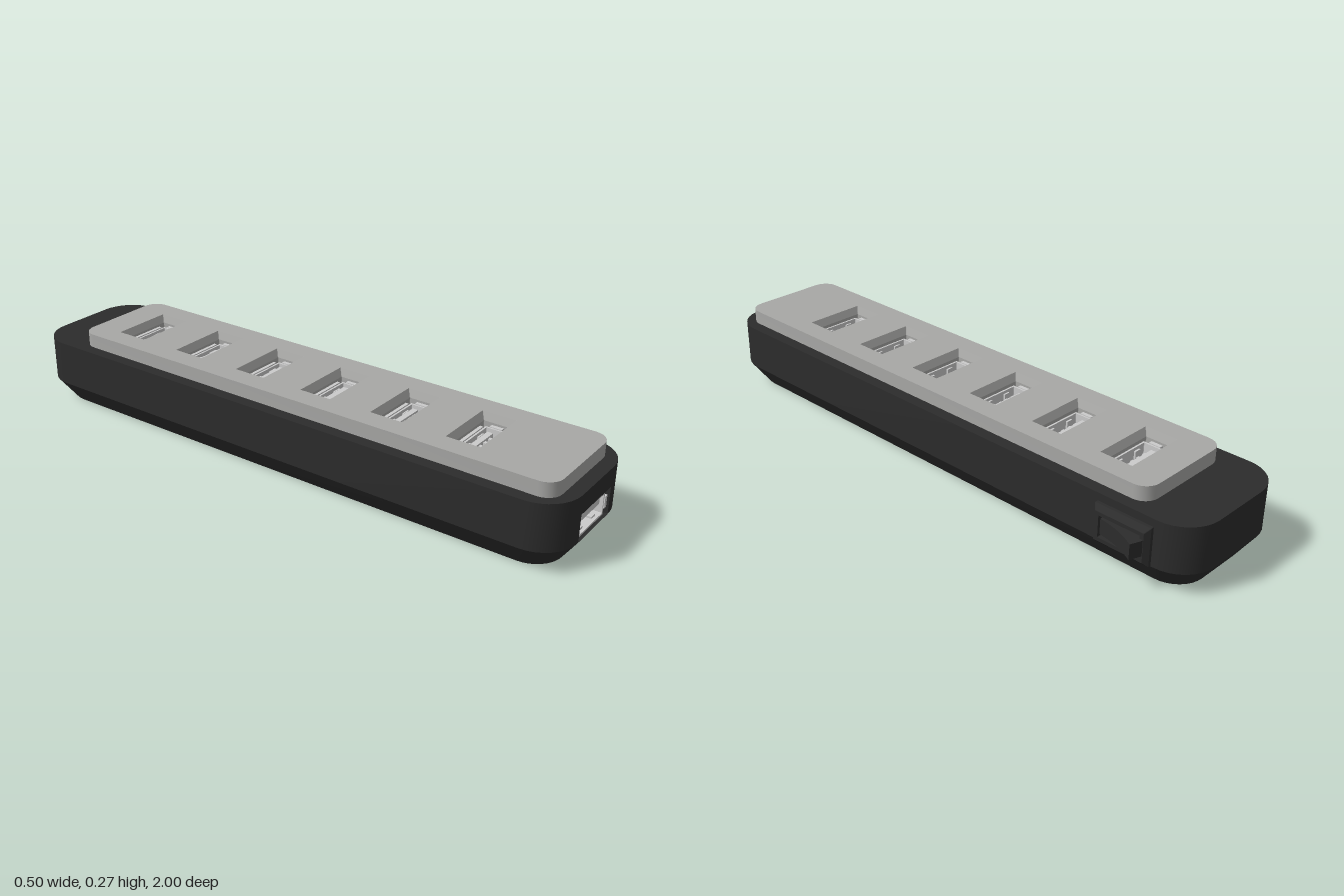
import * as THREE from 'three';
import { toCreasedNormals } from 'three/addons/utils/BufferGeometryUtils.js';

const mat = (color) => new THREE.MeshStandardMaterial({ color });
const DARK = mat(0x2c2c2c), PANEL = mat(0xa8a8a6), METAL = mat(0xcccccc), INNER = mat(0x777777);
const CX = -0.0325; // centre line of the housing

function add(parent, name, geometry, material, x = 0, y = 0, z = 0) {
  const mesh = new THREE.Mesh(geometry, material);
  mesh.name = name;
  mesh.position.set(x, y, z);
  parent.add(mesh);
  return mesh;
}

// Rounded rectangle outline, counter-clockwise, n segments per corner
function ring({ w, h, r = 0.001, z, x = 0, y = 0 }, n) {
  const pts = [];
  for (let c = 0; c < 4; c++) {
    const sx = c === 0 || c === 3 ? 1 : -1, sy = c < 2 ? 1 : -1;
    for (let i = 0; i <= n; i++) {
      const a = (c + i / n) * Math.PI / 2;
      pts.push([x + sx * (w / 2 - r) + r * Math.cos(a), y + sy * (h / 2 - r) + r * Math.sin(a), z]);
    }
  }
  return pts;
}

// Skin over rounded rectangles; rising z gives a solid, falling z a cavity
function loft(specs, { n = 1, start = false, end = false, skip = () => false } = {}) {
  const rings = specs.map((s) => ring(s, n)), m = rings[0].length, idx = [];
  for (let k = 0; k < rings.length - 1; k++) {
    for (let i = 0; i < m; i++) {
      if (skip(k, i)) continue;
      const a = k * m + i, b = k * m + (i + 1) % m;
      idx.push(a, b, b + m, a, b + m, a + m);
    }
  }
  const last = (rings.length - 1) * m;
  for (let i = 1; i < m - 1; i++) {
    if (start) idx.push(0, i + 1, i);
    if (end) idx.push(last, last + i, last + i + 1);
  }
  const g = new THREE.BufferGeometry();
  g.setAttribute('position', new THREE.Float32BufferAttribute(rings.flat(2), 3));
  g.setIndex(idx);
  return toCreasedNormals(g.toNonIndexed(), 0.5);
}

const outline = (spec, n) => ring({ z: 0, ...spec }, n).map((p) => new THREE.Vector2(p[0], p[1]));

// Socket with its mouth in the z = 0 plane, opening toward +z
function makePort(cavityMaterial) {
  const port = new THREE.Group();
  port.name = 'port';
  add(port, 'socketCavity', loft([
    { w: 0.188, h: 0.088, z: 0 },
    { w: 0.188, h: 0.088, z: -0.12 },
  ], { end: true }), cavityMaterial);
  // Metal sleeve with its flared lips
  const sleeve = new THREE.Shape(outline({ w: 0.163, h: 0.073 }, 1));
  sleeve.holes.push(new THREE.Path(outline({ w: 0.151, h: 0.061 }, 1)));
  add(port, 'sleeve', new THREE.ExtrudeGeometry(sleeve, { depth: 0.105, bevelEnabled: false }), METAL, 0, -0.006, -0.115);
  add(port, 'topLip', new THREE.BoxGeometry(0.137, 0.011, 0.012), METAL, 0, 0.037, -0.013);
  add(port, 'sleeveBack', new THREE.BoxGeometry(0.152, 0.062, 0.01), INNER, 0, -0.006, -0.1);
  for (const s of [-1, 1]) {
    add(port, 'sideLip', new THREE.BoxGeometry(0.013, 0.04, 0.012), METAL, s * 0.087, -0.003, -0.013);
    add(port, 'topSpring', new THREE.BoxGeometry(0.03, 0.006, 0.05), METAL, s * 0.037, 0.022, -0.045);
    add(port, 'bottomSpring', new THREE.BoxGeometry(0.022, 0.007, 0.05), METAL, s * 0.04, -0.034, -0.045);
  }
  // Tongue and contacts
  add(port, 'tongue', new THREE.BoxGeometry(0.132, 0.019, 0.085), METAL, 0, 0.006, -0.06);
  for (let i = 0; i < 4; i++) {
    add(port, 'contact', new THREE.BoxGeometry(0.012, 0.011, 0.075), METAL, (i - 1.5) * 0.028, -0.008, -0.061);
  }
  return port;
}

export function createModel() {
  const hub = new THREE.Group();
  hub.name = 'portHub';

  // Housing: chamfered underside, upright walls, top ledge; front flat left open for the wall
  const N = 8, frontFlat = 3 * (N + 1) - 1;
  add(hub, 'housing', loft([
    { w: 0.335, h: 1.9, r: 0.093, z: 0 },
    { w: 0.435, h: 2, r: 0.117, z: 0.075 },
    { w: 0.435, h: 2, r: 0.117, z: 0.225 },
    { w: 0.34, h: 1.76, r: 0.045, z: 0.225, y: -0.0675 },
  ], { n: N, start: true, skip: (k, i) => k === 1 && i === frontFlat }), DARK, CX).rotation.x = -Math.PI / 2;

  // Front wall notched around the front socket
  const wall = new THREE.Shape([
    [-0.1005, 0.075], [-0.094, 0.075], [-0.094, 0.162], [0.094, 0.162],
    [0.094, 0.075], [0.1005, 0.075], [0.1005, 0.225], [-0.1005, 0.225],
  ].map((p) => new THREE.Vector2(...p)));
  add(hub, 'frontWall', new THREE.ShapeGeometry(wall), DARK, CX, 0, 1);
  const frontPort = makePort(DARK);
  frontPort.name = 'frontPort';
  frontPort.position.set(CX, 0.1185, 1);
  hub.add(frontPort);

  // Raised top panel with a row of six sunken sockets
  const portZ = Array.from({ length: 6 }, (_, i) => 0.635 - i * 0.258);
  const panel = new THREE.Shape(outline({ w: 0.355, h: 1.775, r: 0.05, y: -0.0675 }, 6));
  for (const z of portZ) panel.holes.push(new THREE.Path(outline({ w: 0.21, h: 0.112, y: -z }, 1)));
  const panelGeometry = new THREE.ExtrudeGeometry(panel, { depth: 0.047, bevelEnabled: false });
  add(hub, 'topPanel', toCreasedNormals(panelGeometry, 0.5), PANEL, CX, 0.225, 0).rotation.x = -Math.PI / 2;
  for (const z of portZ) {
    const port = makePort(PANEL);
    port.name = 'topPort';
    add(port, 'recess', loft([
      { w: 0.21, h: 0.112, z: 0.025 },
      { w: 0.188, h: 0.088, z: 0 },
    ]), PANEL);
    port.position.set(CX, 0.247, z);
    port.rotation.x = -Math.PI / 2;
    hub.add(port);
  }

  // Power switch on the left side: bevelled frame and curved rocker
  add(hub, 'switchFrame', loft([
    { w: 0.19, h: 0.124, z: -0.002 },
    { w: 0.19, h: 0.124, z: 0.01 },
    { w: 0.165, h: 0.094, z: 0.025 },
    { w: 0.14, h: 0.07, z: 0.025 },
    { w: 0.14, h: 0.07, z: 0.006 },
  ], { end: true }), DARK, 0.185, 0.138, -0.78).rotation.y = Math.PI / 2;
  const rocker = new THREE.Shape();
  rocker.moveTo(0.188, 0.715);
  rocker.lineTo(0.207, 0.715);
  rocker.quadraticCurveTo(0.215, 0.79, 0.25, 0.848);
  rocker.lineTo(0.212, 0.862);
  rocker.lineTo(0.188, 0.85);
  const rockerGeometry = new THREE.ExtrudeGeometry(rocker, { depth: 0.05, bevelEnabled: false, curveSegments: 8 });
  add(hub, 'switchRocker', toCreasedNormals(rockerGeometry, 0.5), DARK, 0, 0.114, 0).rotation.x = -Math.PI / 2;

  return hub;
}
